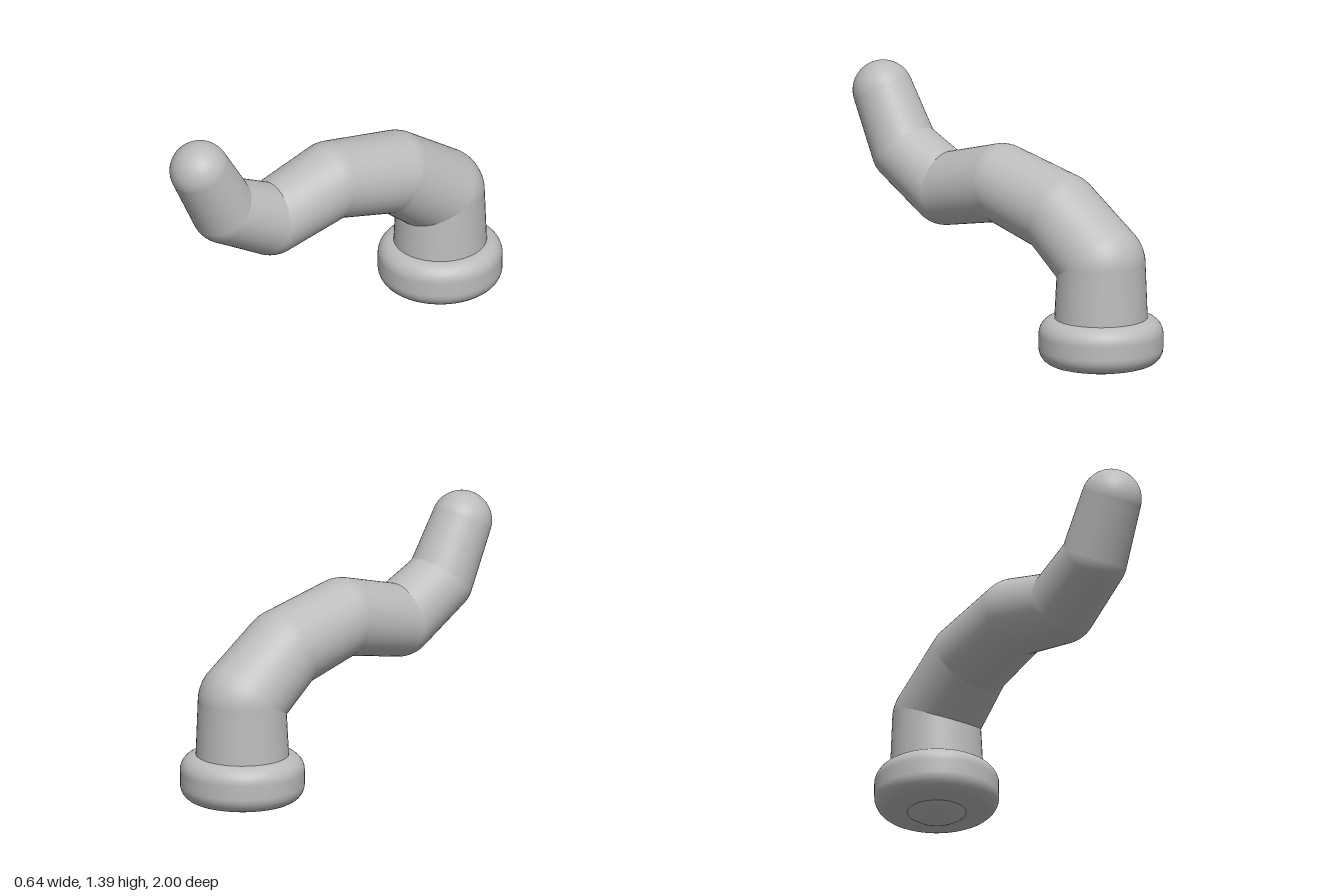
import * as THREE from 'three';

// Joints of the curved arm, root to tip: [y, z, radius]
const JOINTS = [
  [0.24, -0.682, 0.24],
  [0.575, -0.685, 0.225],
  [0.79, -0.395, 0.212],
  [0.885, 0.012, 0.2],
  [0.79, 0.4, 0.186],
  [0.945, 0.69, 0.172],
  [1.232, 0.845, 0.155],
];

export function createModel() {
  const model = new THREE.Group();
  const grey = new THREE.MeshStandardMaterial({ color: 0xbcbcbc });
  grey.name = 'plain grey';

  function add(name, geometry, position) {
    const mesh = new THREE.Mesh(geometry, grey);
    mesh.name = name;
    mesh.position.copy(position);
    model.add(mesh);
    return mesh;
  }

  const up = new THREE.Vector3(0, 1, 0);
  const centres = JOINTS.map(([y, z]) => new THREE.Vector3(0, y, z));

  // Round joints; the first bulges below the collar, the last caps the tip
  JOINTS.forEach(([, , r], i) => {
    const name = i === 0 ? 'rootBall' : i === JOINTS.length - 1 ? 'tipBall' : 'joint' + i;
    add(name, new THREE.SphereGeometry(r, 48, 32), centres[i]);
  });

  // Tapered segments between neighbouring joints
  for (let i = 0; i < JOINTS.length - 1; i++) {
    const a = centres[i], b = centres[i + 1];
    const axis = b.clone().sub(a);
    const geometry = new THREE.CylinderGeometry(JOINTS[i + 1][2], JOINTS[i][2], axis.length(), 48, 1, true);
    const segment = add('segment' + (i + 1), geometry, a.clone().add(b).multiplyScalar(0.5));
    segment.quaternion.setFromUnitVectors(up, axis.normalize());
  }

  // Rounded collar around the root
  const bottom = 0.053, top = 0.295, outer = 0.318, bevel = 0.085;
  const profile = [new THREE.Vector2(0.14, bottom)];
  for (const [y, start] of [[bottom + bevel, -Math.PI / 2], [top - bevel, 0]]) {
    for (let k = 0; k <= 8; k++) {
      const t = start + (k / 8) * Math.PI / 2;
      profile.push(new THREE.Vector2(outer - bevel + bevel * Math.cos(t), y + bevel * Math.sin(t)));
    }
  }
  profile.push(new THREE.Vector2(0.2, top));
  add('collar', new THREE.LatheGeometry(profile, 64), new THREE.Vector3(0, 0, -0.682));

  return model;
}
